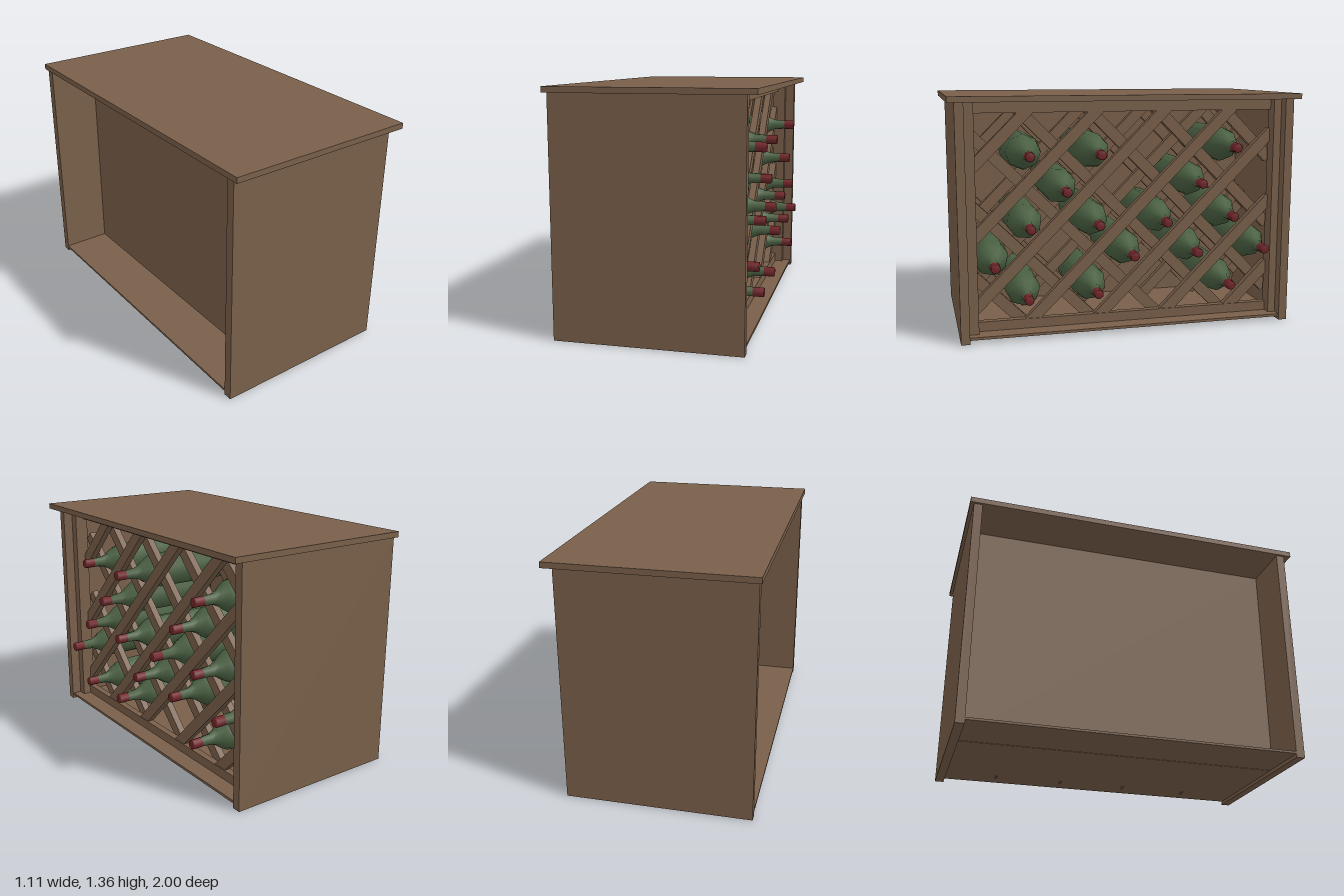
import * as THREE from 'three';

const mat = (name, color) => {
  const m = new THREE.MeshStandardMaterial({ color });
  m.name = name;
  return m;
};

export function createModel() {
  const root = new THREE.Group();
  root.name = 'wineRackCabinet';
  const wood = mat('brown wood', 0x795f4a);
  const glass = mat('green glass', 0x4a6042);
  const foil = mat('red foil', 0x702529);

  // Box given by its limits on each axis
  const board = (name, [x0, x1], [y0, y1], [z0, z1]) => {
    const mesh = new THREE.Mesh(new THREE.BoxGeometry(x1 - x0, y1 - y0, z1 - z0), wood);
    mesh.name = name;
    mesh.position.set((x0 + x1) / 2, (y0 + y1) / 2, (z0 + z1) / 2);
    root.add(mesh);
  };

  // Carcass
  board('top', [-0.555, 0.555], [1.325, 1.357], [-1, 1]);
  board('sidePanelFront', [-0.542, 0.498], [0, 1.325], [0.91, 0.96]);
  board('sidePanelRear', [-0.542, 0.498], [0, 1.325], [-0.98, -0.93]);
  board('floorRack', [-0.22, 0.49], [0.02, 0.035], [-0.93, 0.91]);
  board('floorRecess', [-0.542, -0.22], [0.022, 0.035], [-0.93, 0.91]);
  board('backPanel', [-0.25, -0.23], [0.035, 1.325], [-0.93, 0.91]);

  // Recessed face frame around the rack opening
  board('topRail', [0.35, 0.39], [1.26, 1.325], [-0.885, 0.855]);
  board('bottomRail', [0.35, 0.39], [0.035, 0.09], [-0.885, 0.855]);
  board('leftStile', [0.36, 0.44], [0.035, 1.325], [0.855, 0.91]);
  board('rightStile', [0.36, 0.44], [0.035, 1.325], [-0.93, -0.885]);

  // Diagonal slats along y = slope * z + c, trimmed to the opening
  const lattice = new THREE.Group();
  lattice.name = 'lattice';
  root.add(lattice);
  const slatLayer = (x, slope, c0, bottom) => {
    for (let m = -3; m <= 6; m++) {
      const c = c0 + 0.4 * m;
      const ends = [(bottom - c) / slope, (1.28 - c) / slope].sort((a, b) => a - b);
      const z0 = Math.max(ends[0], -0.9), z1 = Math.min(ends[1], 0.87);
      if (z1 - z0 < 0.06) continue;
      const zm = (z0 + z1) / 2;
      const slat = new THREE.Mesh(
        new THREE.BoxGeometry(0.04, (z1 - z0) * Math.SQRT2, 0.065), wood);
      slat.name = 'slat';
      slat.rotation.x = slope * Math.PI / 4;
      slat.position.set(x, slope * zm + c, zm);
      lattice.add(slat);
    }
  };
  slatLayer(0.365, -1, 0.23, 0.036);
  slatLayer(0.325, 1, 0.27, 0.06);
  slatLayer(-0.06, -1, 0.23, 0.06);
  slatLayer(-0.1, 1, 0.27, 0.06);

  // Bottles lying with their necks outwards
  const lathe = (points) =>
    new THREE.LatheGeometry(points.map(([r, y]) => new THREE.Vector2(r, y)), 8);
  const bottleGeo = lathe([
    [0, -0.22], [0.103, -0.22], [0.103, 0.25], [0.094, 0.3], [0.072, 0.34],
    [0.047, 0.375], [0.032, 0.41], [0.026, 0.49],
  ]);
  const foilGeo = lathe([[0.028, 0.475], [0.028, 0.53], [0.024, 0.537], [0, 0.537]]);
  const spots = [
    [0.567, 1.03], [0.17, 1.03], [-0.626, 1.05],
    [0.364, 0.83], [-0.42, 0.85],
    [0.567, 0.63], [0.18, 0.635], [-0.214, 0.635], [-0.615, 0.65],
    [0.765, 0.425], [-0.02, 0.45], [-0.4, 0.45], [-0.81, 0.45],
    [0.583, 0.235], [0.19, 0.245], [-0.604, 0.245],
  ];
  spots.forEach(([z, y], i) => {
    const bottle = new THREE.Group();
    bottle.name = 'bottle';
    const body = new THREE.Mesh(bottleGeo, glass);
    body.name = 'bottleGlass';
    const cap = new THREE.Mesh(foilGeo, foil);
    cap.name = 'bottleFoil';
    body.rotation.y = cap.rotation.y = i * 0.37;
    bottle.add(body, cap);
    bottle.rotation.z = -Math.PI / 2;
    bottle.position.set(0, y, z);
    root.add(bottle);
  });

  return root;
}
